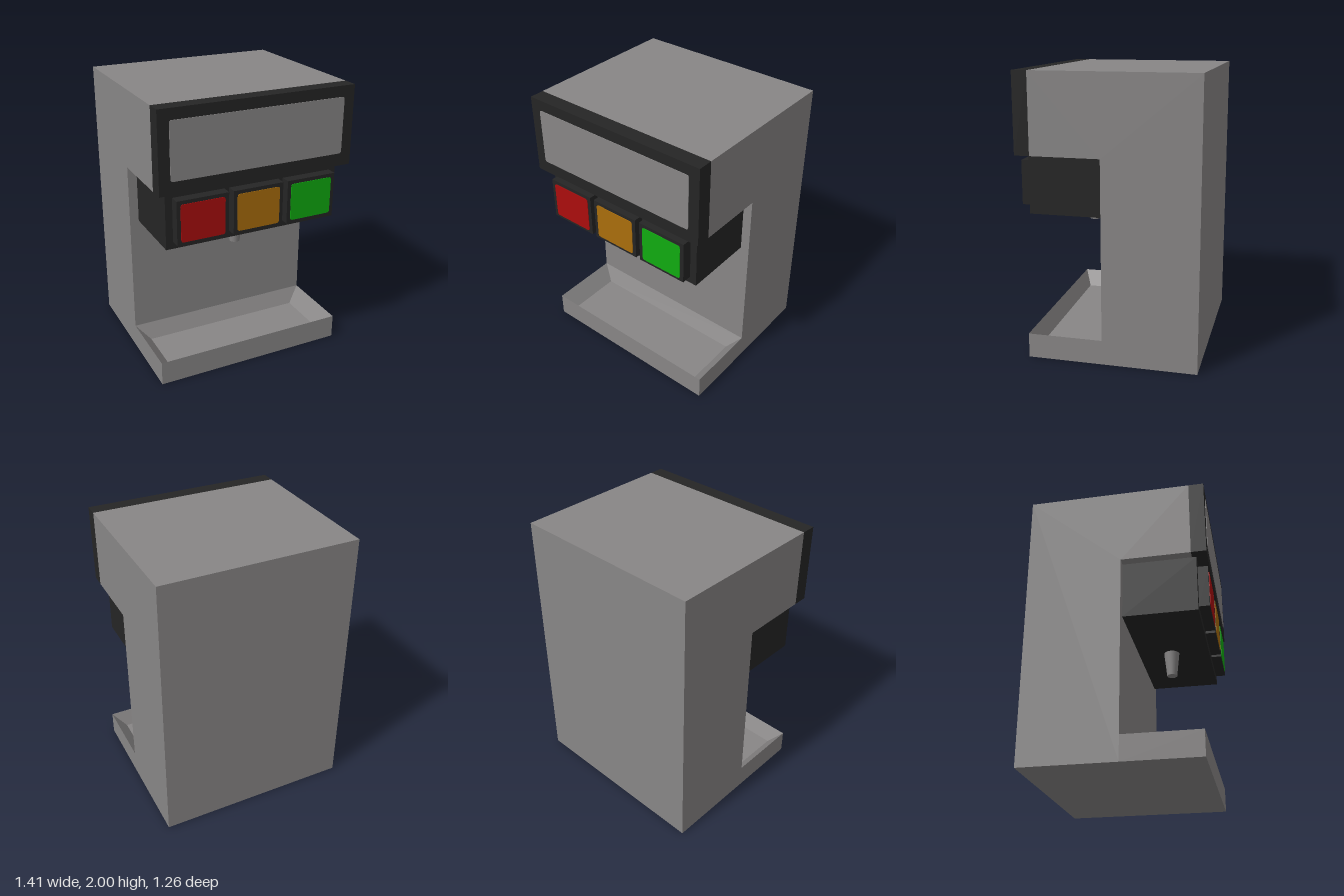
import * as THREE from 'three';

const mat = (name, color) => {
  const m = new THREE.MeshStandardMaterial({ color });
  m.name = name;
  return m;
};

export function createModel() {
  const model = new THREE.Group();
  model.name = 'drinkDispenser';

  const grey = mat('bodyGrey', 0x888686);
  const black = mat('trimBlack', 0x252525);
  const red = mat('buttonRed', 0xab0d0d);
  const amber = mat('buttonAmber', 0xaa6e0c);
  const green = mat('buttonGreen', 0x10ab10);

  const add = (name, geometry, material, x = 0, y = 0, z = 0) => {
    const mesh = new THREE.Mesh(geometry, material);
    mesh.name = name;
    mesh.position.set(x, y, z);
    model.add(mesh);
    return mesh;
  };

  // Box given by its limits on each axis
  const box = (name, material, x0, x1, y0, y1, z0, z1) =>
    add(name, new THREE.BoxGeometry(x1 - x0, y1 - y0, z1 - z0), material,
      (x0 + x1) / 2, (y0 + y1) / 2, (z0 + z1) / 2);

  // Thin plate with rounded corners, lying on a front face
  const plate = (name, material, w, h, r, x, y, z) => {
    const a = w / 2, b = h / 2;
    const s = new THREE.Shape();
    s.moveTo(-a + r, -b).lineTo(a - r, -b).quadraticCurveTo(a, -b, a, -b + r);
    s.lineTo(a, b - r).quadraticCurveTo(a, b, a - r, b);
    s.lineTo(-a + r, b).quadraticCurveTo(-a, b, -a, b - r);
    s.lineTo(-a, -b + r).quadraticCurveTo(-a, -b, -a + r, -b);
    const g = new THREE.ExtrudeGeometry(s, { depth: 0.004, bevelEnabled: false, curveSegments: 4 });
    return add(name, g, material, x, y, z);
  };

  // Cabinet: rear column with the overhanging head, side profile in (z, y)
  const profile = new THREE.Shape([
    [-0.63, 0], [0.035, 0], [0.035, 1.44], [0.52, 1.44], [0.52, 2], [-0.63, 2],
  ].map(([z, y]) => new THREE.Vector2(z, y)));
  const cabinet = new THREE.ExtrudeGeometry(profile, { depth: 1.41, bevelEnabled: false });
  cabinet.rotateY(-Math.PI / 2).translate(0.705, 0, 0);
  add('cabinet', cabinet, grey);

  // Drip tray: outer walls, then sloped inner walls down to a sunken floor
  const ring = (x, z0, z1, y) => [[-x, y, z1], [x, y, z1], [x, y, z0], [-x, y, z0]];
  const rings = [
    ring(0.705, 0.035, 0.565, 0),
    ring(0.705, 0.035, 0.565, 0.175),
    ring(0.605, 0.095, 0.505, 0.065),
  ];
  const pos = [];
  const quad = (a, b, c, d) => pos.push(...a, ...b, ...c, ...a, ...c, ...d);
  for (let k = 0; k < 2; k++) {
    for (let i = 0; i < 4; i++) {
      const j = (i + 1) % 4;
      quad(rings[k][i], rings[k][j], rings[k + 1][j], rings[k + 1][i]);
    }
  }
  quad(...rings[2]);
  quad(...[...rings[0]].reverse());
  const tray = new THREE.BufferGeometry();
  tray.setAttribute('position', new THREE.Float32BufferAttribute(pos, 3));
  tray.computeVertexNormals();
  add('dripTray', tray, grey);

  // Head surround with its display panel
  box('displayFrame', black, -0.705, 0.705, 1.44, 2, 0.52, 0.626);
  plate('displayPanel', grey, 1.255, 0.395, 0.018, 0, 1.727, 0.626);

  // Valve housing with three selector buttons
  box('valveHousing', black, -0.64, 0.64, 1.03, 1.44, 0.035, 0.55);
  [['left', red], ['middle', amber], ['right', green]].forEach(([side, color], i) => {
    const x = (i - 1) * 0.405;
    box(side + 'ButtonBezel', black, x - 0.185, x + 0.185, 1.08, 1.39, 0.55, 0.622);
    plate(side + 'Button', color, 0.316, 0.265, 0.02, x, 1.232, 0.622);
  });

  // Tapered nozzle
  add('nozzle', new THREE.CylinderGeometry(0.057, 0.037, 0.18, 16), grey, 0, 0.94, 0.275);

  return model;
}
